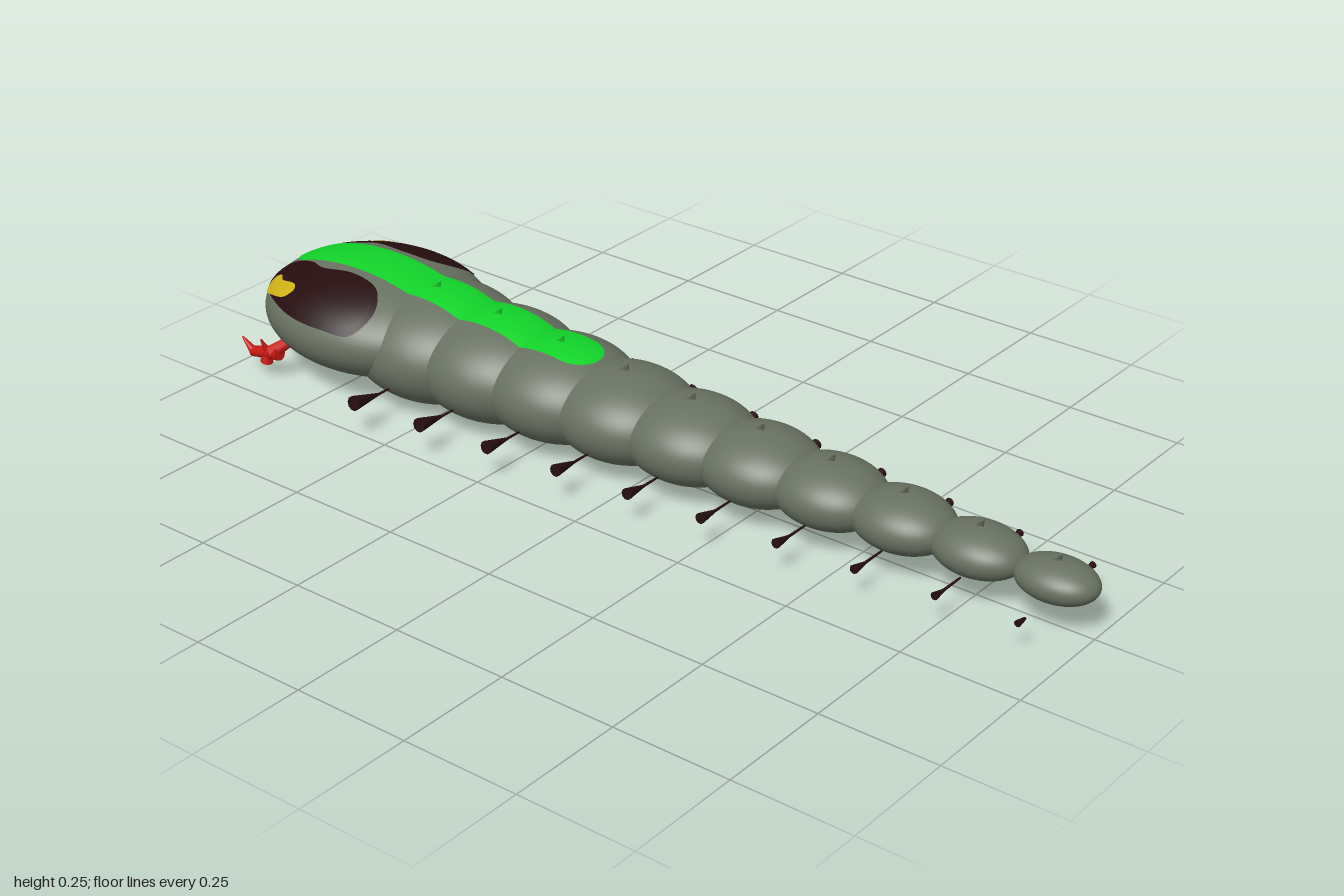
import * as THREE from 'three';

const mat = (name, color, side = THREE.FrontSide) => {
  const m = new THREE.MeshStandardMaterial({ color, side });
  m.name = name;
  return m;
};
const lerp = THREE.MathUtils.lerp;

// Ellipsoids: the head, then ten shrinking body segments towards +z
const head = { y: 0.14, z: -0.74, rx: 0.216, ry: 0.113, rz: 0.26 };
const segments = Array.from({ length: 10 }, (_, i) => {
  const t = i / 9;
  return {
    y: lerp(0.12, 0.095, t), z: lerp(-0.57, 0.915, t),
    rx: lerp(0.177, 0.061, t), ry: lerp(0.12, 0.04, t), rz: lerp(0.195, 0.085, t),
  };
});

// Height of the upper skin at (x, z), slightly lifted for painted patches
function skinHeight(parts, x, z, lift) {
  let top = 0;
  for (const e of parts) {
    const k = 1 - (x / (e.rx * lift)) ** 2 - ((z - e.z) / (e.rz * lift)) ** 2;
    if (k > 0) top = Math.max(top, e.y + e.ry * lift * Math.sqrt(k));
  }
  return top;
}

// A thin painted surface: a grid of (x, z) points laid on the skin
function patch(parts, nu, nv, lift, pointAt) {
  const pos = [], idx = [];
  for (let j = 0; j <= nv; j++) {
    for (let i = 0; i <= nu; i++) {
      const [x, z] = pointAt(i / nu, j / nv);
      pos.push(x, skinHeight(parts, x, z, lift), z);
      if (i < nu && j < nv) {
        const a = j * (nu + 1) + i, b = a + nu + 1;
        idx.push(a, b, a + 1, a + 1, b, b + 1);
      }
    }
  }
  const g = new THREE.BufferGeometry();
  g.setAttribute('position', new THREE.Float32BufferAttribute(pos, 3));
  g.setIndex(idx);
  g.computeVertexNormals();
  return g;
}

// Filled blob inside a smooth closed outline of [x, z] points
function blob(outline, side, lift) {
  const pts = outline.map(([x, z]) => new THREE.Vector3(x * side, 0, z));
  const curve = new THREE.CatmullRomCurve3(pts, true);
  const c = pts.reduce((s, p) => s.add(p), new THREE.Vector3()).divideScalar(pts.length);
  return patch([head], 64, 12, lift, (u, v) => {
    const p = curve.getPoint(side > 0 ? 1 - u : u).lerp(c, v);
    return [p.x, p.z];
  });
}

export function createModel() {
  const model = new THREE.Group();
  const skin = mat('greyGreenSkin', 0x687161);
  const dark = mat('darkBrown', 0x260d0f, THREE.DoubleSide);
  const green = mat('brightGreen', 0x12d42a, THREE.DoubleSide);
  const yellow = mat('yellow', 0xcfb215, THREE.DoubleSide);
  const red = mat('red', 0xc81712);
  const add = (name, geo, material, x = 0, y = 0, z = 0) => {
    const m = new THREE.Mesh(geo, material);
    m.name = name;
    m.position.set(x, y, z);
    model.add(m);
    return m;
  };
  const cylinderBetween = (name, a, b, r0, r1, material) => {
    const p = new THREE.Vector3(...a), q = new THREE.Vector3(...b);
    const d = q.clone().sub(p);
    const m = add(name, new THREE.CylinderGeometry(r1, r0, d.length(), 10), material);
    m.position.copy(p).add(q).multiplyScalar(0.5);
    m.quaternion.setFromUnitVectors(new THREE.Vector3(0, 1, 0), d.normalize());
    return m;
  };
  const ellipsoid = (name, e) => {
    const g = new THREE.SphereGeometry(1, 64, 40);
    g.scale(e.rx, e.ry, e.rz);
    add(name, g, skin, 0, e.y, e.z);
  };

  // Head and body
  ellipsoid('head', head);
  segments.forEach((e, i) => {
    const t = i / 9;
    ellipsoid('bodySegment', e);

    // Small back-swept spike on the ridge
    const r = lerp(0.022, 0.016, t);
    const spike = add('backSpike', new THREE.ConeGeometry(r, 0.03, 3), i < 3 ? green : skin,
      0, e.y + e.ry + 0.002, e.z);
    spike.rotation.x = 0.6;

    // Flared legs on thin stems
    const inner = lerp(0.19, 0.105, t), outer = lerp(0.262, 0.13, t);
    const y = lerp(0.076, 0.064, t), rise = lerp(0.008, 0.001, t);
    for (const s of [1, -1]) {
      cylinderBetween('leg', [s * inner, y - rise, e.z], [s * outer, y, e.z],
        0.003, lerp(0.016, 0.007, t), dark);
      if (i < 9) {
        cylinderBetween('legStem', [s * e.rx * 0.8, y - rise, e.z],
          [s * (inner + 0.005), y - rise, e.z], 0.002, 0.003, dark);
      }
    }
  });

  // Green stripe along the back, rounded at both ends
  const z0 = -0.95, z1 = -0.145, half = 0.055;
  add('backStripe', patch([head, ...segments], 16, 120, 1.015, (u, v) => {
    const z = lerp(z0, z1, 0.5 - 0.5 * Math.cos(Math.PI * v));
    const k = Math.max(0, 1 - Math.min(z - z0, z1 - z) / half);
    return [half * Math.sqrt(Math.max(0, 1 - k * k)) * (2 * u - 1), z];
  }), green);

  // Eye patches with yellow glints
  const eye = [[0.085, -0.965], [0.058, -0.94], [0.062, -0.87], [0.08, -0.82], [0.072, -0.74],
    [0.088, -0.66], [0.14, -0.623], [0.188, -0.64], [0.206, -0.72], [0.2, -0.8],
    [0.174, -0.87], [0.13, -0.935]];
  const glint = [[0.108, -0.94], [0.105, -0.92], [0.125, -0.895], [0.14, -0.845], [0.155, -0.835],
    [0.168, -0.85], [0.158, -0.895], [0.135, -0.935]];
  for (const s of [1, -1]) {
    add('eyePatch', blob(eye, s, 1.012), dark);
    add('eyeGlint', blob(glint, s, 1.024), yellow);

    // Jointed red pincers under the front of the head
    cylinderBetween('pincerBase', [s * 0.155, 0.085, -0.86], [s * 0.176, 0.06, -0.89], 0.012, 0.016, red);
    cylinderBetween('pincerArm', [s * 0.172, 0.062, -0.87], [s * 0.178, 0.047, -0.945], 0.016, 0.011, red);
    cylinderBetween('pincerTip', [s * 0.177, 0.044, -0.94], [s * 0.186, 0.078, -0.965], 0.011, 0.002, red);
    cylinderBetween('pincerFoot', [s * 0.178, 0.055, -0.9], [s * 0.178, 0.035, -0.905], 0.008, 0.014, red);
    cylinderBetween('pincerSpur', [s * 0.176, 0.055, -0.9], [s * 0.19, 0.09, -0.905], 0.009, 0.002, red);
  }
  return model;
}
